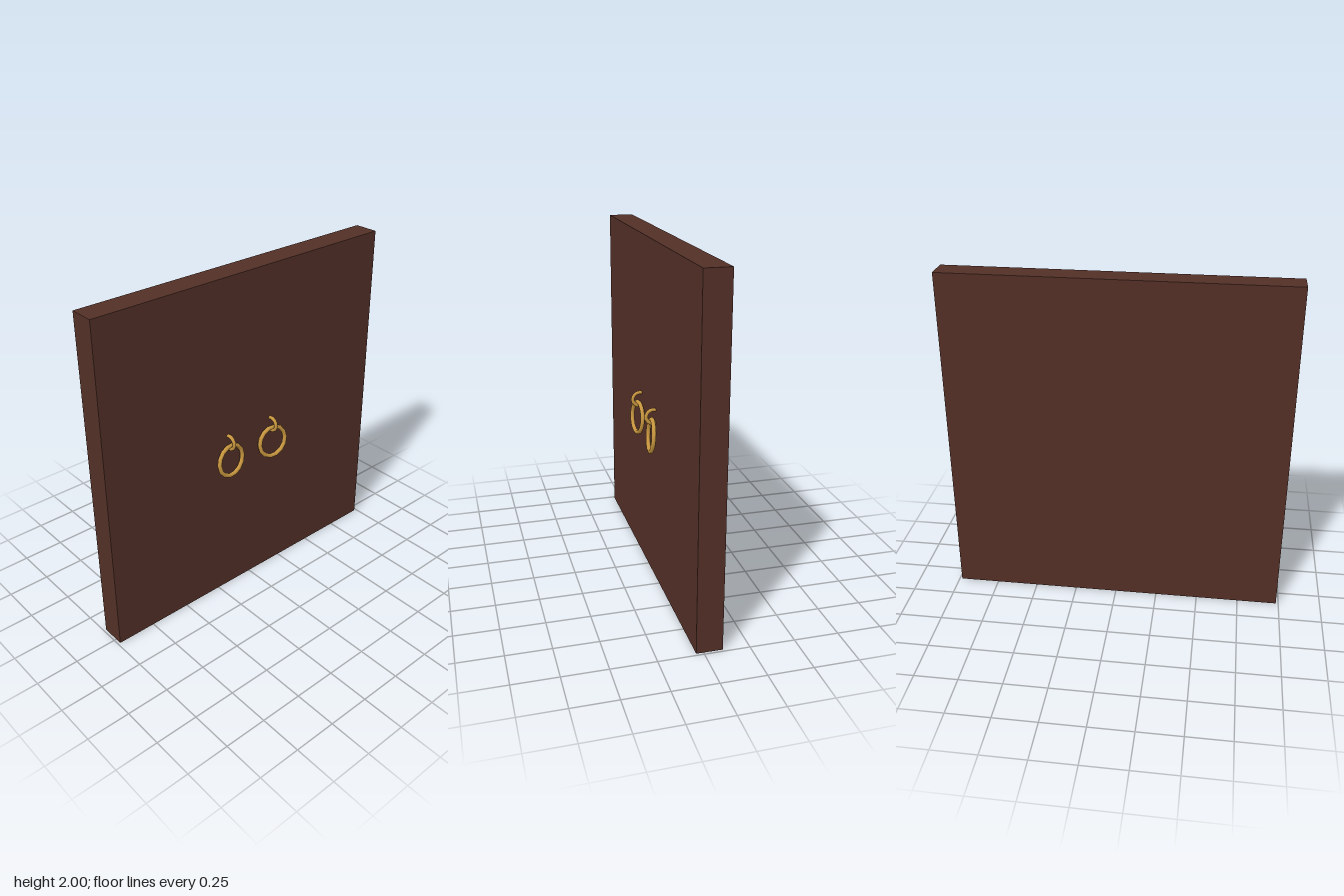
import * as THREE from 'three';

export function createModel() {
  const model = new THREE.Group();
  const wood = new THREE.MeshStandardMaterial({ color: 0x522f26 });
  wood.name = 'dark wood';
  const brass = new THREE.MeshStandardMaterial({ color: 0xc8963f });
  brass.name = 'brass';

  const add = (parent, name, geometry, material) => {
    const mesh = new THREE.Mesh(geometry, material);
    mesh.name = name;
    parent.add(mesh);
    return mesh;
  };

  // Door slab
  add(model, 'doorPanel', new THREE.BoxGeometry(1.97, 2, 0.145), wood).position.set(0, 1, -0.0325);

  // Ring pulls, each hanging from a round eye sunk into the slab
  const eyeGeometry = new THREE.TorusGeometry(0.041, 0.011, 8, 16);
  const ringGeometry = new THREE.TorusGeometry(0.093, 0.013, 8, 14);
  for (const side of [-1, 1]) {
    const handle = new THREE.Group();
    handle.name = side > 0 ? 'leftHandle' : 'rightHandle';
    handle.position.x = side * 0.161;
    model.add(handle);

    const eye = add(handle, 'handleEye', eyeGeometry, brass);
    eye.position.set(0, 1.018, 0.053);
    eye.rotation.y = Math.PI / 2;

    // The ring leans out at the bottom and swings towards the outer edge
    const ring = add(handle, 'pullRing', ringGeometry, brass);
    ring.position.set(0, 0.905, 0.066);
    ring.rotation.set(-0.09, -side * 0.09, 0);
  }
  return model;
}
